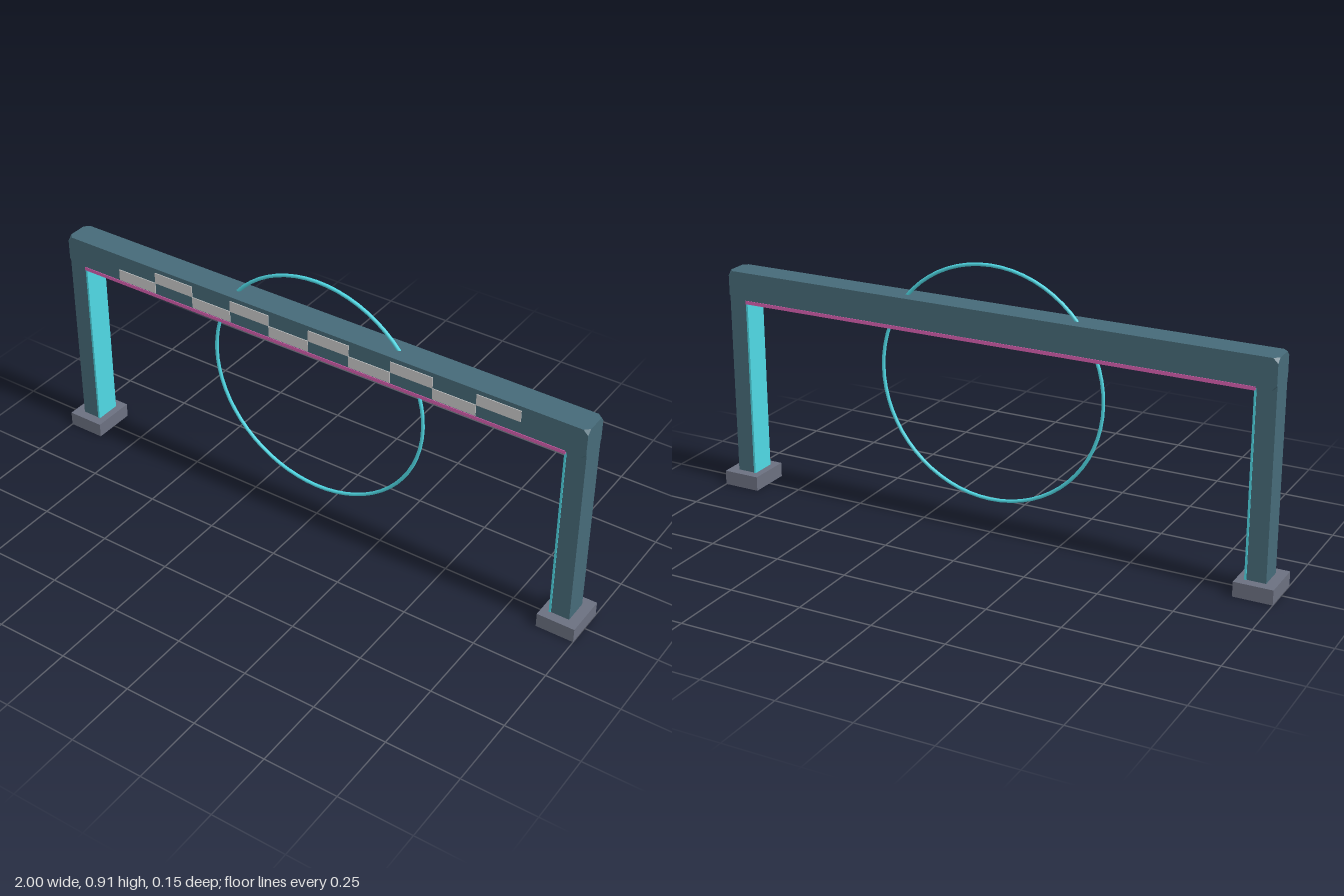
import * as THREE from 'three';
import { ConvexGeometry } from 'three/addons/geometries/ConvexGeometry.js';

const mat = (color) => new THREE.MeshStandardMaterial({ color, flatShading: true });

// Box given by its min and max corners
function box(name, material, x0, x1, y0, y1, z0, z1) {
  const mesh = new THREE.Mesh(new THREE.BoxGeometry(x1 - x0, y1 - y0, z1 - z0), material);
  mesh.position.set((x0 + x1) / 2, (y0 + y1) / 2, (z0 + z1) / 2);
  mesh.name = name;
  return mesh;
}

// Box whose eight corners are cut off by c
function cutCornerBox(w, h, d, c) {
  const pts = [];
  for (const sx of [-1, 1]) for (const sy of [-1, 1]) for (const sz of [-1, 1]) {
    const x = w / 2, y = h / 2, z = d / 2;
    pts.push(new THREE.Vector3(sx * (x - c), sy * y, sz * z));
    pts.push(new THREE.Vector3(sx * x, sy * (y - c), sz * z));
    pts.push(new THREE.Vector3(sx * x, sy * y, sz * (z - c)));
  }
  return new ConvexGeometry(pts);
}

export function createModel() {
  const model = new THREE.Group();
  model.name = 'gate';
  const frame = mat(0x466a78), stone = mat(0x6b7080), cyan = mat(0x4fd8e4);
  const pink = mat(0xd860b0), white = mat(0xd8d8d8);

  // Feet, posts and the bright panels on their inner faces
  for (const s of [1, -1]) {
    const side = s > 0 ? 'left' : 'right';
    const part = (name, material, a, b, y0, y1, z) =>
      model.add(box(side + name, material, Math.min(s * a, s * b), Math.max(s * a, s * b), y0, y1, -z, z));
    part('Foot', stone, 0.87, 1, 0, 0.05, 0.075);
    part('Post', frame, 0.902, 0.965, 0.05, 0.69, 0.043);
    part('InnerPanel', cyan, 0.895, 0.902, 0.05, 0.67, 0.045);
  }

  // Crossbeam with clipped corners
  const beam = new THREE.Mesh(cutCornerBox(1.93, 0.1, 0.094, 0.016), frame);
  beam.position.y = 0.72;
  beam.name = 'crossbeam';
  model.add(beam);

  // Strip under the beam
  model.add(box('underStrip', pink, -0.9, 0.9, 0.662, 0.674, -0.049, 0.049));

  // Checkered tiles on the front of the beam
  const checker = new THREE.Group();
  checker.name = 'checkerTiles';
  for (let i = 0; i < 10; i++) {
    const x = -0.75 + i * 0.15, y = i % 2 ? 0.716 : 0.677;
    checker.add(box('tile', white, x, x + 0.15, y, y + 0.039, 0.045, 0.0495));
  }
  model.add(checker);

  // Thin ring passing through the beam
  const ringMat = new THREE.MeshStandardMaterial({ color: 0x4fd8e4 });
  const ring = new THREE.Mesh(new THREE.TorusGeometry(0.395, 0.006, 8, 64), ringMat);
  ring.position.y = 0.512;
  ring.name = 'ring';
  model.add(ring);

  return model;
}
